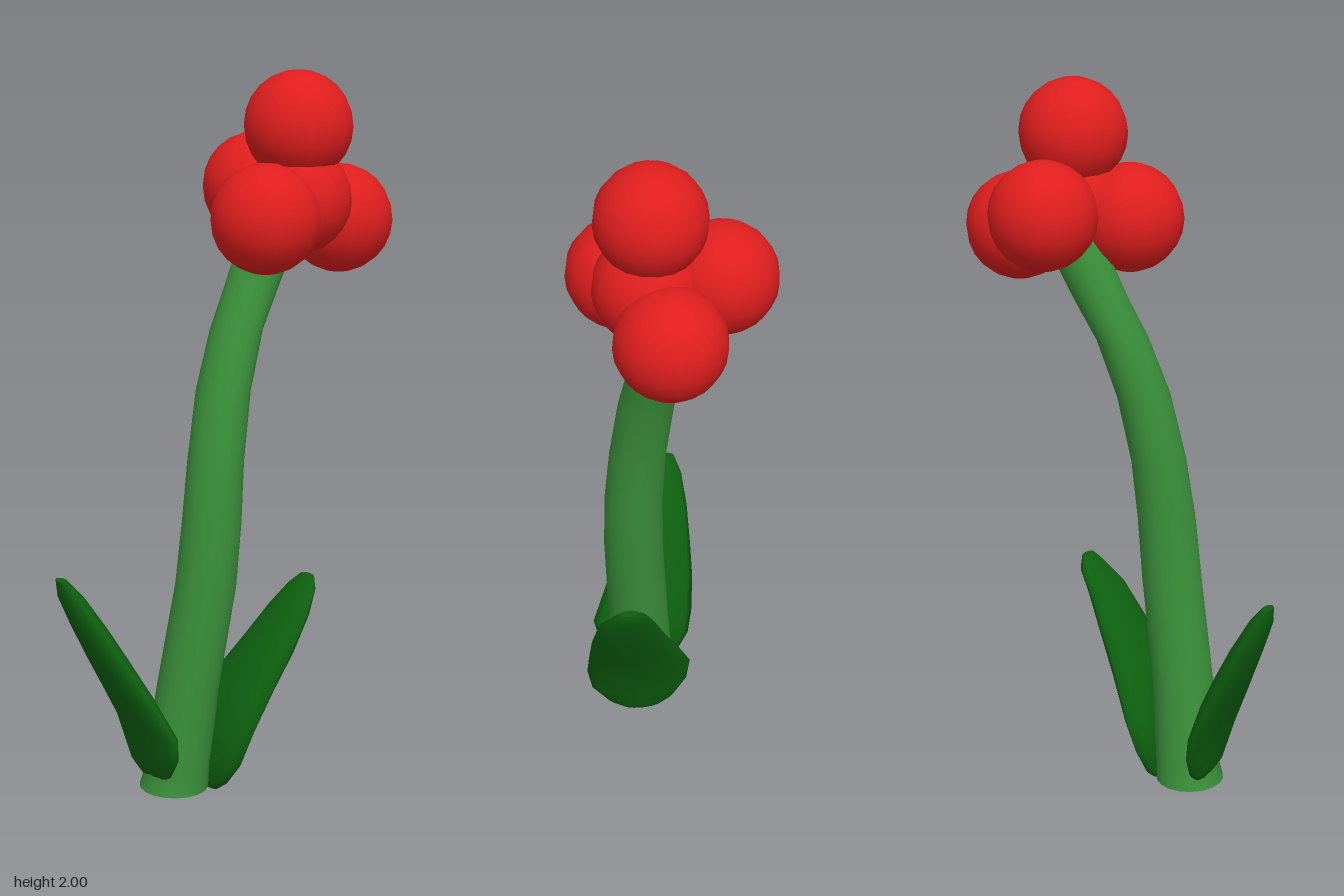
import * as THREE from 'three';

// Closed skin through horizontal elliptical rings; each row is [x, y, z, radiusX, radiusZ].
function loft(rows, sides, squash = 1) {
  const pos = [], index = [];
  const ring = ([x, y, z, rx, rz]) => {
    for (let i = 0; i < sides; i++) {
      const a = (i / sides) * Math.PI * 2;
      const c = Math.cos(a), s = Math.sin(a);
      pos.push(x + rx * Math.sign(c) * Math.abs(c) ** squash, y, z + rz * s);
    }
  };
  rows.forEach(ring);
  for (let r = 0; r < rows.length - 1; r++) {
    for (let i = 0; i < sides; i++) {
      const j = (i + 1) % sides;
      const a = r * sides + i, b = r * sides + j;
      index.push(a, a + sides, b, b, a + sides, b + sides);
    }
  }
  // End caps have their own vertices so the rims stay sharp
  [rows[0], rows[rows.length - 1]].forEach((row, top) => {
    const start = pos.length / 3;
    ring(row);
    pos.push(row[0], row[1], row[2]);
    for (let i = 0; i < sides; i++) {
      const a = start + i, b = start + ((i + 1) % sides);
      index.push(start + sides, top ? b : a, top ? a : b);
    }
  });
  const geo = new THREE.BufferGeometry();
  geo.setAttribute('position', new THREE.Float32BufferAttribute(pos, 3));
  geo.setIndex(index);
  geo.computeVertexNormals();
  return geo;
}

export function createModel() {
  const group = new THREE.Group();
  const stemMat = new THREE.MeshStandardMaterial({ color: 0x3a8f3a });
  const leafMat = new THREE.MeshStandardMaterial({ color: 0x0e6010 });
  const berryMat = new THREE.MeshStandardMaterial({ color: 0xe01e1e });
  const add = (name, geo, mat) => {
    const mesh = new THREE.Mesh(geo, mat);
    mesh.name = name;
    group.add(mesh);
    return mesh;
  };

  // Curved stem, slightly flared at the foot
  add('stem', loft([
    [-0.2, 0.01, 0.03, 0.095, 0.1],
    [-0.19, 0.06, 0.033, 0.09, 0.093],
    [-0.165, 0.3, 0.05, 0.087, 0.088],
    [-0.117, 0.6, 0.07, 0.085, 0.085],
    [-0.098, 0.78, 0.072, 0.082, 0.083],
    [-0.078, 0.95, 0.062, 0.077, 0.08],
    [-0.04, 1.14, 0.043, 0.074, 0.078],
    [0.016, 1.3, 0.024, 0.072, 0.073],
    [0.075, 1.41, 0.01, 0.077, 0.07],
    [0.125, 1.51, 0.002, 0.082, 0.07],
    [0.17, 1.6, 0, 0.075, 0.068],
  ], 18), stemMat);

  // Two thick leaves leaning outward
  add('rightLeaf', loft([
    [-0.258, 0.045, 0.01, 0.015, 0.055],
    [-0.262, 0.075, 0.013, 0.028, 0.1],
    [-0.266, 0.13, 0.018, 0.034, 0.135],
    [-0.28, 0.2, 0.02, 0.042, 0.15],
    [-0.323, 0.3, -0.008, 0.046, 0.132],
    [-0.37, 0.4, -0.035, 0.045, 0.105],
    [-0.418, 0.5, -0.058, 0.041, 0.08],
    [-0.463, 0.59, -0.076, 0.032, 0.052],
    [-0.487, 0.64, -0.083, 0.014, 0.026],
  ], 12, 1.2), leafMat);
  add('leftLeaf', loft([
    [-0.105, 0, 0.05, 0.016, 0.055],
    [-0.1, 0.03, 0.053, 0.028, 0.095],
    [-0.09, 0.1, 0.06, 0.038, 0.142],
    [-0.062, 0.19, 0.066, 0.048, 0.154],
    [-0.002, 0.3, 0.09, 0.055, 0.13],
    [0.062, 0.4, 0.113, 0.053, 0.107],
    [0.125, 0.5, 0.128, 0.042, 0.082],
    [0.17, 0.56, 0.127, 0.028, 0.055],
    [0.186, 0.59, 0.13, 0.014, 0.028],
  ], 12, 1.2), leafMat);

  // Cluster of round berries around a central one
  const berry = new THREE.SphereGeometry(0.15, 16, 12);
  [
    ['topBerry', 0.19, 1.85, 0.065],
    ['centreBerry', 0.185, 1.65, 0.07],
    ['frontBerry', 0.045, 1.617, 0.12],
    ['sideBerry', 0.347, 1.577, 0.04],
    ['backBerry', 0.18, 1.66, -0.122],
  ].forEach(([name, x, y, z]) => add(name, berry, berryMat).position.set(x, y, z));

  return group;
}
